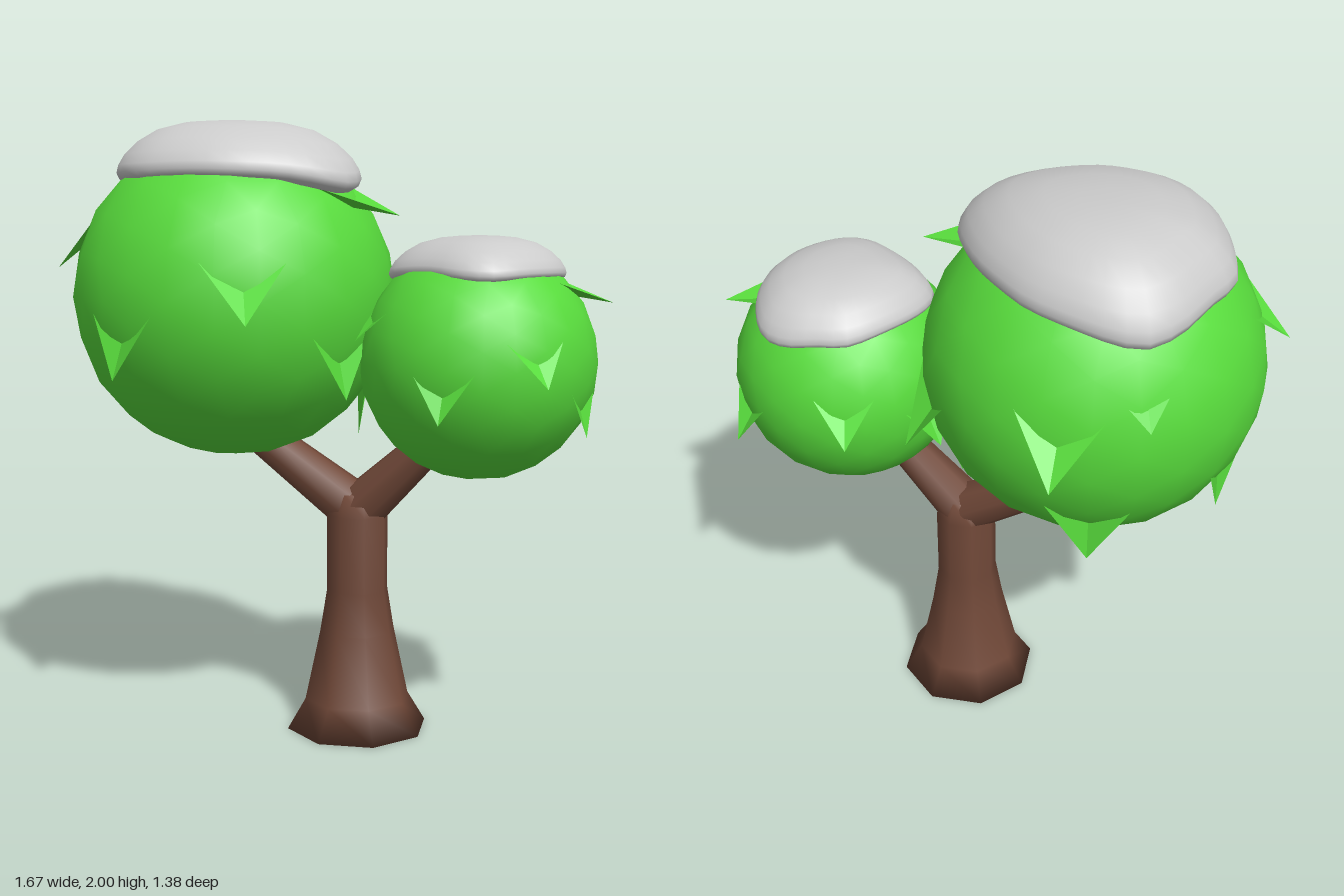
import * as THREE from 'three';

const bark = new THREE.MeshStandardMaterial({ color: 0x704838 });
const foliage = new THREE.MeshStandardMaterial({ color: 0x58dc3c });
const leafMat = new THREE.MeshStandardMaterial({ color: 0x58dc3c, side: THREE.DoubleSide });
const snow = new THREE.MeshStandardMaterial({ color: 0xcccccc });

const V = (x, y, z) => new THREE.Vector3(x, y, z);

function add(parent, name, geometry, material) {
  const mesh = new THREE.Mesh(geometry, material);
  mesh.name = name;
  parent.add(mesh);
  return mesh;
}

// Tapered branch between two points
function branch(parent, name, from, to, r0, r1) {
  const dir = to.clone().sub(from);
  const mesh = add(parent, name, new THREE.CylinderGeometry(r1, r0, dir.length(), 8), bark);
  mesh.position.copy(from).addScaledVector(dir, 0.5);
  mesh.quaternion.setFromUnitVectors(V(0, 1, 0), dir.normalize());
}

// Chevron leaves: wing corners and notch lie on the ball, the tip hangs outward and down
function leavesGeometry(centre, r, tips, length, halfWidth) {
  const pos = [];
  for (const t of tips) {
    const tip = V(...t).sub(centre);
    const n = tip.clone().normalize();
    const down = V(0, -1, 0).addScaledVector(n, n.y).normalize();
    const side = n.clone().cross(down).negate().cross(n).cross(n).lengthSq() > 0
      ? down.clone().cross(n).negate() : V(1, 0, 0);
    const onBall = (up, across) => n.clone().multiplyScalar(r)
      .addScaledVector(down, -up).addScaledVector(side, across).setLength(r * 0.985);
    const a = onBall(length, -halfWidth);
    const b = onBall(length, halfWidth);
    const notch = onBall(length * 0.45, 0);
    for (const p of [a, tip, notch, notch, tip, b]) pos.push(p.x, p.y, p.z);
  }
  const g = new THREE.BufferGeometry();
  g.setAttribute('position', new THREE.Float32BufferAttribute(pos, 3));
  g.computeVertexNormals();
  return g;
}

// Snow cap: closed outline (x, z, clockwise from above) shrunk ring by ring to the apex
function snowGeometry(centre, r, outline, apex, rimY) {
  const curve = new THREE.CatmullRomCurve3(outline.map(([x, z]) => V(x, 0, z)), true);
  const N = 40;
  const pts = curve.getSpacedPoints(N).slice(0, N);
  // [outline scale, height share between rim and apex]
  const rings = [[0.2, 0.99], [0.42, 0.95], [0.65, 0.83], [0.82, 0.63], [0.93, 0.42],
    [0.985, 0.24], [1, 0.12], [0.98, 0.03], [0.93, -0.02], [0.82, 0.0]];
  const pos = [apex.x, apex.y, apex.z];
  const index = [];
  rings.forEach(([s, h], i) => {
    pts.forEach((p, j) => {
      const d = Math.min(Math.hypot(p.x - centre.x, p.z - centre.z), r);
      const surface = centre.y + Math.sqrt(r * r - d * d);
      const base = rimY + 0.4 * (surface - rimY);
      pos.push(apex.x + (p.x - apex.x) * s, base + (apex.y - base) * h, apex.z + (p.z - apex.z) * s);
      const k = (j + 1) % N;
      const c = 1 + i * N;
      if (i === 0) index.push(0, c + k, c + j);
      else index.push(c - N + j, c - N + k, c + j, c - N + k, c + k, c + j);
    });
  });
  const g = new THREE.BufferGeometry();
  g.setAttribute('position', new THREE.Float32BufferAttribute(pos, 3));
  g.setIndex(index);
  g.computeVertexNormals();
  return g;
}

function canopy(parent, name, o) {
  const group = new THREE.Group();
  group.name = name;
  parent.add(group);
  add(group, 'foliageBall', new THREE.IcosahedronGeometry(o.r, 3), foliage).position.copy(o.centre);
  add(group, 'leaves', leavesGeometry(o.centre, o.r, o.tips, o.length, o.halfWidth), leafMat)
    .position.copy(o.centre);
  add(group, 'snowCap', snowGeometry(o.centre, o.r, o.outline, o.apex, o.rimY), snow);
}

export function createModel() {
  const tree = new THREE.Group();
  tree.name = 'snowyTree';

  // Flared trunk, closed at the base and domed at the fork
  const profile = [[0, 0], [0.235, 0], [0.235, 0], [0.175, 0.1], [0.125, 0.33], [0.102, 0.47],
    [0.102, 0.72], [0.075, 0.79], [0, 0.82]].map(([x, y]) => new THREE.Vector2(x, y));
  profile.splice(2, 1);
  add(tree, 'trunk', new THREE.LatheGeometry(profile, 8), bark).position.set(0.1, 0, 0.065);
  branch(tree, 'rightBranch', V(0.08, 0.75, 0.05), V(-0.17, 0.95, -0.13), 0.085, 0.065);
  branch(tree, 'leftBranch', V(0.11, 0.74, 0.07), V(0.3, 0.96, 0.2), 0.085, 0.062);

  canopy(tree, 'largeCanopy', {
    centre: V(-0.27, 1.43, -0.14), r: 0.53, length: 0.2, halfWidth: 0.155,
    tips: [[-0.33, 1.37, 0.47], [-0.7, 1.19, 0.2], [-0.84, 1.52, -0.29], [0.01, 1.125, 0.295],
      [0.19, 1.69, 0.245], [0.33, 1.215, -0.19], [0, 1.365, -0.695], [-0.16, 0.98, -0.55],
      [-0.6, 1.03, -0.44], [-0.29, 1.52, -0.68], [0.125, 0.97, -0.03]],
    outline: [[-0.29, -0.62], [-0.18, -0.59], [0, -0.44], [0.07, -0.31], [0.11, -0.18], [0.12, 0],
      [0.1, 0.1], [0.05, 0.19], [-0.03, 0.235], [-0.2, 0.25], [-0.35, 0.23], [-0.5, 0.15],
      [-0.6, 0.05], [-0.65, -0.1], [-0.63, -0.32], [-0.6, -0.41], [-0.5, -0.5], [-0.4, -0.58]],
    apex: V(-0.27, 2, -0.22), rimY: 1.81,
  });

  canopy(tree, 'smallCanopy', {
    centre: V(0.44, 1.235, 0.27), r: 0.375, length: 0.14, halfWidth: 0.11,
    tips: [[0.52, 1.19, 0.69], [0.215, 1.08, 0.6], [0.71, 1.02, 0.52], [0.835, 1.09, 0.115],
      [0.82, 1.425, 0.435], [0.515, 1.2, -0.165], [0.04, 1.31, 0.29], [0.2, 1.1, -0.06]],
    outline: [[0.47, -0.03], [0.56, -0.01], [0.66, 0.03], [0.72, 0.1], [0.73, 0.22], [0.71, 0.32],
      [0.66, 0.41], [0.57, 0.49], [0.4, 0.545], [0.31, 0.5], [0.24, 0.39], [0.18, 0.26],
      [0.17, 0.18], [0.22, 0.1], [0.33, 0.02]],
    apex: V(0.45, 1.63, 0.24), rimY: 1.5,
  });

  return tree;
}
